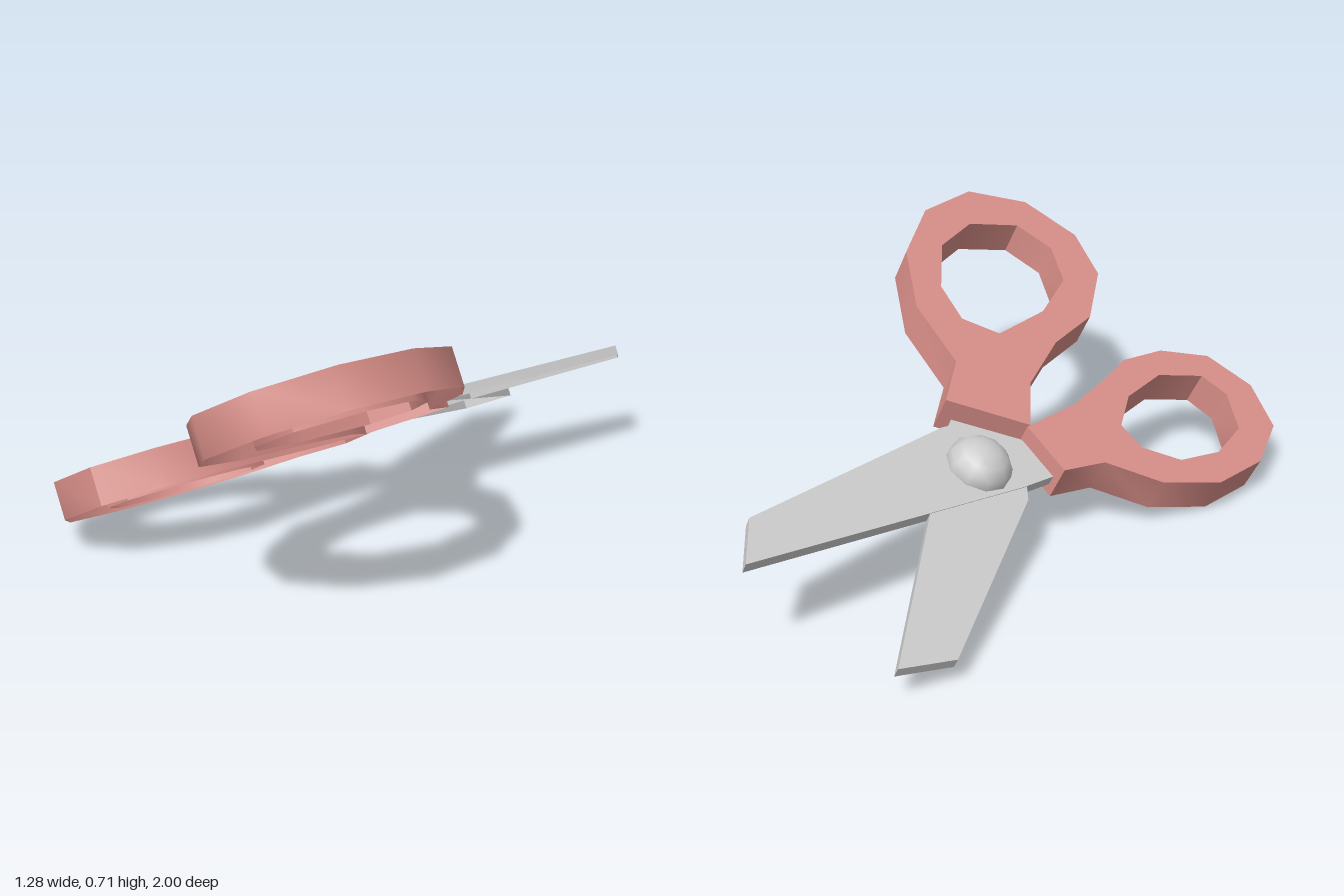
import * as THREE from 'three';
import { toCreasedNormals } from 'three/addons/utils/BufferGeometryUtils.js';

const TILT = Math.atan(0.496);
const COS = Math.cos(TILT), SIN = Math.sin(TILT);

const steel = new THREE.MeshStandardMaterial({ color: 0xcccccc, side: THREE.DoubleSide });
const grip = new THREE.MeshStandardMaterial({ color: 0xd88e88, side: THREE.DoubleSide });

// Plan outlines are [x, z] as seen from above; undo the tilt to lay them flat.
const flatten = (points, top) =>
  points.map(([x, z]) => new THREE.Vector2((x + top * SIN) / COS, -z));

// A hollow shell: top face and walls, open underneath.
function shell(name, outline, hole, bottom, top, material) {
  const shape = new THREE.Shape(flatten(outline, top));
  if (hole) shape.holes.push(new THREE.Path(flatten(hole, top)));
  const solid = new THREE.ExtrudeGeometry(shape, { depth: top - bottom, bevelEnabled: false });
  solid.rotateX(-Math.PI / 2);

  // Keep every triangle except those of the bottom face
  const p = solid.attributes.position;
  const kept = [];
  for (let i = 0; i < p.count; i += 3) {
    const corners = [i, i + 1, i + 2];
    if (corners.every((k) => p.getY(k) < 1e-5)) continue;
    corners.forEach((k) => kept.push(p.getX(k), p.getY(k) + bottom, p.getZ(k)));
  }
  const open = new THREE.BufferGeometry();
  open.setAttribute('position', new THREE.Float32BufferAttribute(kept, 3));
  const mesh = new THREE.Mesh(toCreasedNormals(open, 0.8), material);
  mesh.name = name;
  return mesh;
}

export function createModel() {
  const scissors = new THREE.Group();
  scissors.name = 'scissors';

  // Large finger loop
  scissors.add(shell('largeHandle',
    [[-0.02, -0.09], [0.07, 0.07], [0.28, 0.14], [0.465, 0.31], [0.58, 0.545], [0.59, 0.79],
      [0.475, 0.96], [0.29, 1.0], [0.13, 0.91], [0.01, 0.69], [-0.015, 0.465], [-0.09, 0.23], [-0.2, 0.08]],
    [[0.09, 0.31], [0.185, 0.243], [0.31, 0.295], [0.44, 0.46], [0.475, 0.65], [0.405, 0.82],
      [0.28, 0.845], [0.16, 0.75], [0.095, 0.545]],
    0, 0.11, grip));

  // Small thumb loop
  scissors.add(shell('smallHandle',
    [[-0.36, 0.03], [-0.2, 0.065], [-0.21, 0.295], [-0.19, 0.465], [-0.165, 0.63], [-0.195, 0.8],
      [-0.285, 0.95], [-0.435, 0.98], [-0.577, 0.885], [-0.64, 0.69], [-0.625, 0.475], [-0.535, 0.29], [-0.4, 0.18]],
    [[-0.42, 0.35], [-0.333, 0.365], [-0.27, 0.5], [-0.26, 0.69], [-0.33, 0.84], [-0.42, 0.85],
      [-0.525, 0.75], [-0.55, 0.585], [-0.51, 0.43]],
    0, 0.11, grip));

  // Blades cross at the pivot, each running into the opposite handle
  scissors.add(shell('longBlade',
    [[-0.115, -1], [-0.015, -0.885], [-0.04, -0.13], [-0.05, -0.09], [-0.2, 0.075], [-0.32, 0.05],
      [-0.3, -0.09], [-0.235, -0.41]],
    null, 0.028, 0.06, steel));
  scissors.add(shell('shortBlade',
    [[-0.515, -0.89], [-0.05, -0.12], [-0.03, -0.08], [-0.19, 0.075], [-0.3, -0.07], [-0.335, -0.11],
      [-0.575, -0.73]],
    null, 0.028, 0.058, steel));

  // Domed pivot screw
  const pivot = new THREE.Mesh(
    new THREE.SphereGeometry(0.1, 10, 4, 0, Math.PI * 2, 0, Math.PI / 2), steel);
  pivot.name = 'pivotScrew';
  pivot.scale.y = 0.8;
  pivot.position.set(-0.178, 0.058, -0.148);
  scissors.add(pivot);

  // Whole tool leans sideways
  scissors.rotation.z = TILT;
  scissors.position.y = 0.294;
  const model = new THREE.Group();
  model.name = 'model';
  model.add(scissors);
  return model;
}
